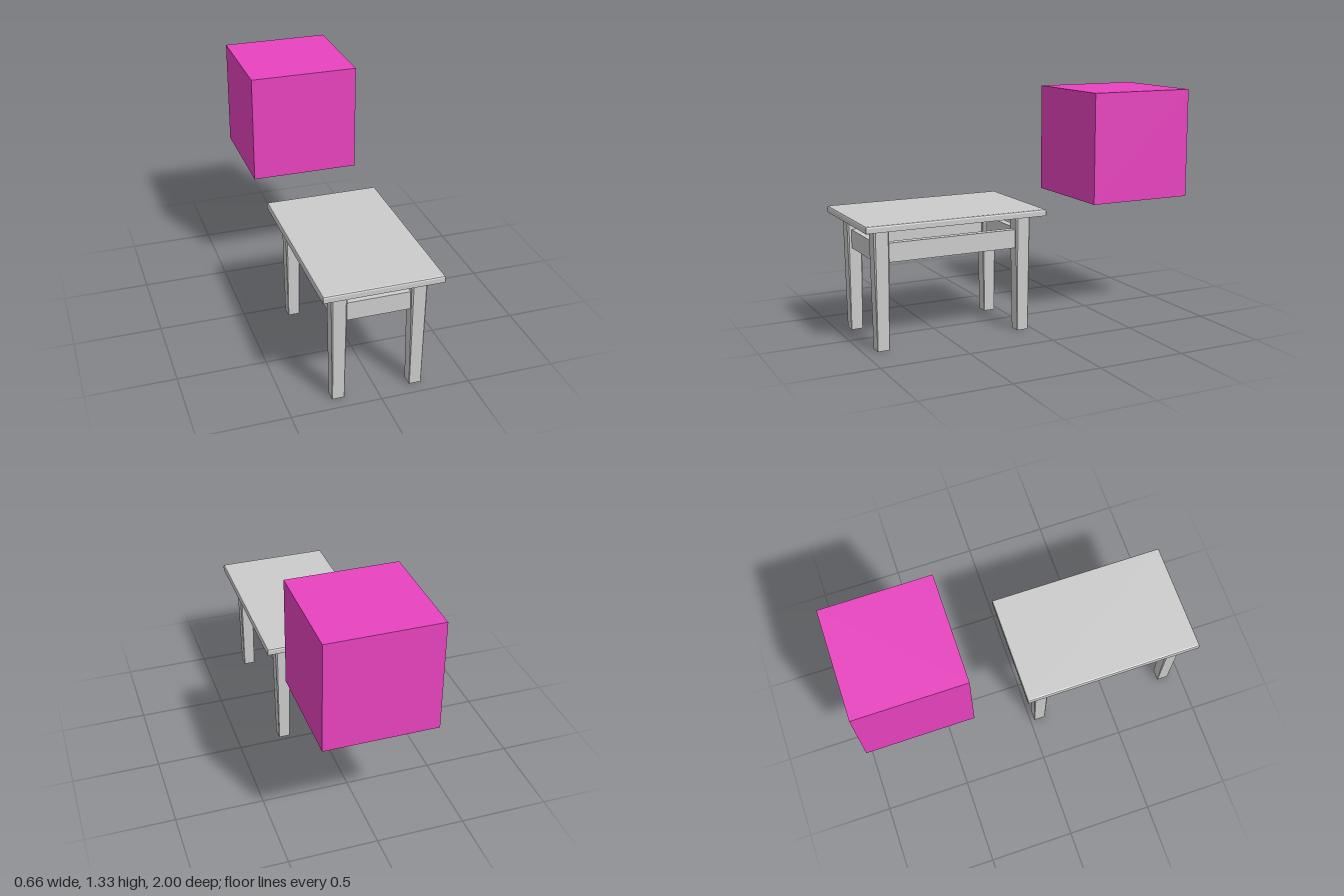
import * as THREE from 'three';

const grey = new THREE.MeshStandardMaterial({ color: 0xcccccc, flatShading: true });
const magenta = new THREE.MeshStandardMaterial({ color: 0xe843bf, flatShading: true });

// Stack of rectangular sections with cut corners: [y, halfX, halfZ, cut]
function loft(sections) {
  const pos = [], index = [];
  for (const [y, a, b, c] of sections) {
    const ring = [[a, b - c], [a - c, b], [c - a, b], [-a, b - c],
      [-a, c - b], [c - a, -b], [a - c, -b], [a, c - b]];
    for (const [x, z] of ring) pos.push(x, y, z);
  }
  const last = (sections.length - 1) * 8;
  for (let s = 0; s < last; s += 8) {
    for (let i = 0; i < 8; i++) {
      const j = (i + 1) % 8;
      index.push(s + i, s + 8 + i, s + j, s + j, s + 8 + i, s + 8 + j);
    }
  }
  // End caps
  for (let i = 1; i < 7; i++) {
    index.push(0, i, i + 1);
    index.push(last, last + i + 1, last + i);
  }
  const geo = new THREE.BufferGeometry();
  geo.setAttribute('position', new THREE.Float32BufferAttribute(pos, 3));
  geo.setIndex(index);
  const flat = geo.toNonIndexed();
  flat.computeVertexNormals();
  return flat;
}

export function createModel() {
  const model = new THREE.Group();
  model.name = 'tableAndCube';

  const add = (parent, name, geo, mat, x, y, z) => {
    const mesh = new THREE.Mesh(geo, mat);
    mesh.name = name;
    mesh.position.set(x, y, z);
    parent.add(mesh);
  };

  const table = new THREE.Group();
  table.name = 'table';
  table.position.z = 0.475;
  model.add(table);

  // Tabletop with a softened upper edge
  add(table, 'tabletop', loft([
    [0.663, 0.328, 0.525, 0.002],
    [0.69, 0.328, 0.525, 0.002],
    [0.697, 0.325, 0.522, 0.003],
    [0.7, 0.319, 0.516, 0.003],
  ]), grey, 0, 0, 0);

  // Tapered legs, corners cut towards the top
  const legX = 0.218, legZ = 0.416;
  const legGeo = loft([[0, 0.034, 0.034, 0.002], [0.664, 0.044, 0.044, 0.009]]);
  for (const sx of [-1, 1]) {
    for (const sz of [-1, 1]) {
      add(table, (sz > 0 ? 'front' : 'back') + (sx > 0 ? 'Left' : 'Right') + 'Leg',
        legGeo, grey, sx * legX, 0, sz * legZ);
    }
  }

  // Rails between the legs
  const railY = 0.53, railH = 0.105, railT = 0.042;
  const endRail = new THREE.BoxGeometry(0.37, railH, railT);
  const sideRail = new THREE.BoxGeometry(railT, railH, 0.766);
  for (const s of [-1, 1]) {
    add(table, s > 0 ? 'frontRail' : 'backRail', endRail, grey, 0, railY, s * legZ);
    add(table, s > 0 ? 'leftRail' : 'rightRail', sideRail, grey, s * legX, railY, 0);
  }

  // Separate cube behind the table
  add(model, 'cube', new THREE.BoxGeometry(0.633, 0.633, 0.633), magenta, -0.002, 1.011, -0.683);

  return model;
}
